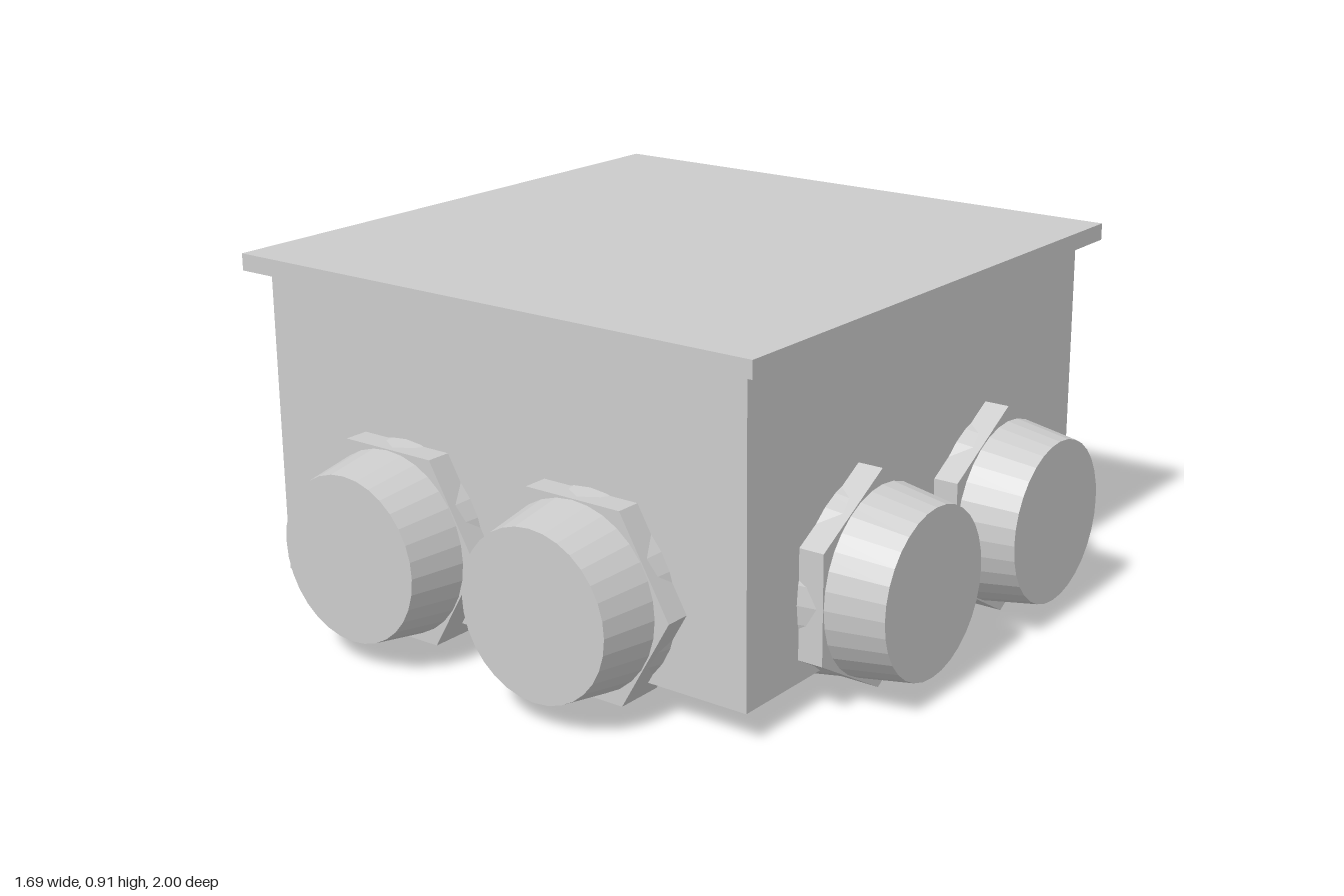
import * as THREE from 'three';

const material = new THREE.MeshStandardMaterial({ color: 0xcccccc, flatShading: true });

function addMesh(parent, name, geometry, x, y, z) {
  const mesh = new THREE.Mesh(geometry, material);
  mesh.name = name;
  mesh.position.set(x, y, z);
  parent.add(mesh);
}

// Cable gland pointing up +y with its tip at the origin; the nut spans the given depths below the tip
function makeGland(name, nutTop, nutBottom) {
  const gland = new THREE.Group();
  gland.name = name;
  const coneLength = 0.29;
  addMesh(gland, 'glandCone', new THREE.CylinderGeometry(0.207, 0.255, coneLength, 32), 0, -coneLength / 2, 0);
  const nut = new THREE.CylinderGeometry(0.27, 0.27, nutBottom - nutTop, 6, 1, false, Math.PI / 6);
  addMesh(gland, 'glandHexNut', nut, 0, -(nutTop + nutBottom) / 2, 0);
  return gland;
}

export function createModel() {
  const model = new THREE.Group();
  model.name = 'junctionBox';

  // Box and overhanging lid
  addMesh(model, 'boxBody', new THREE.BoxGeometry(1.436, 0.785, 1.436), -0.083, 0.4725, 0.073);
  addMesh(model, 'boxLid', new THREE.BoxGeometry(1.532, 0.043, 1.532), -0.083, 0.8855, 0.073);

  const height = 0.272;

  // Paired glands on the front and back walls
  for (const x of [-0.367, 0.202]) {
    const front = makeGland('frontGland', 0.145, 0.27);
    front.rotation.x = Math.PI / 2;
    front.position.set(x, height, 1);
    const back = makeGland('backGland', 0.228, 0.355);
    back.rotation.x = -Math.PI / 2;
    back.position.set(x, height, -1);
    model.add(front, back);
  }

  // Paired glands on the +x wall
  for (const z of [0.36, -0.209]) {
    const side = makeGland('sideGland', 0.145, 0.27);
    side.rotation.z = -Math.PI / 2;
    side.position.set(0.845, height, z);
    model.add(side);
  }

  return model;
}
